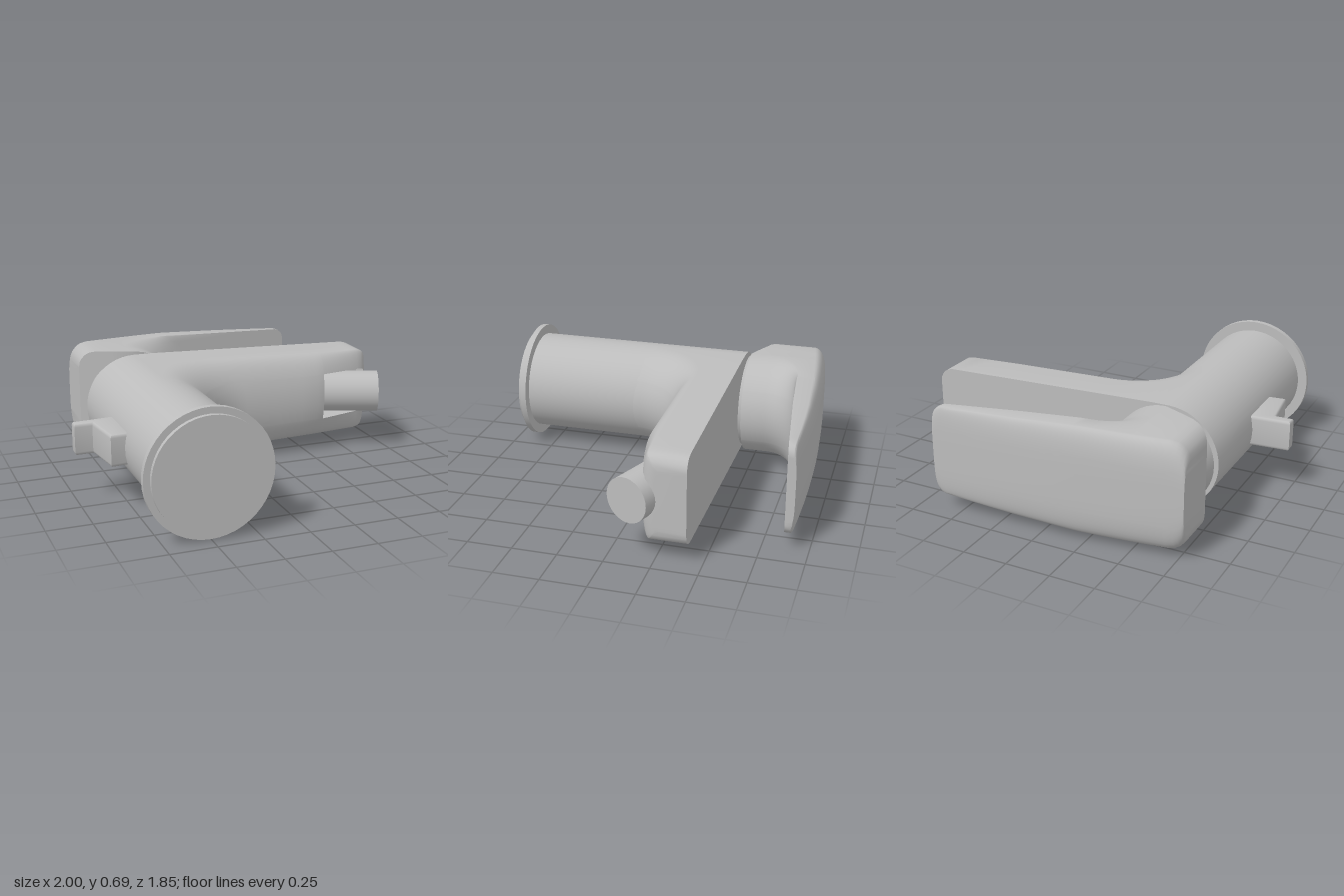
import * as THREE from 'three';
import { toCreasedNormals } from 'three/addons/utils/BufferGeometryUtils.js';

const CX = -0.5, CY = 0.35, R = 0.29;
const metal = new THREE.MeshStandardMaterial({ color: 0xbcbcbc });
metal.name = 'satin grey metal';

// Angles across the half-round section; the close pairs give the outlet recess crisp sides
const angles = [];
for (let a = -90; a <= 90; a += 7.5) if (Math.abs(a) !== 30) angles.push(a);
angles.push(-32.5, -31, 31, 32.5);
angles.sort((a, b) => a - b);
const arc = angles.map((a) => ({ s: Math.sin(a * Math.PI / 180), c: Math.max(0, Math.cos(a * Math.PI / 180)) }));

// Distance a rounded corner of radius r is set in, at distance d from the end
const corner = (d, r) => (d >= r ? 0 : r - Math.sqrt(r * r - (r - Math.max(d, 0)) ** 2));
const { lerp, clamp } = THREE.MathUtils;

// Skin closed sections; each row gives an {x, z} for the underside at every angle
function loft(rows, width, top) {
  const n = arc.length, ring = 2 * n, pos = [], idx = [];
  for (const row of rows) {
    const low = arc.map((p, j) => [row[j].x, CY + width(row[j].x) * p.s, row[j].z]);
    const high = arc.map((p, j) => [row[j].x, low[j][1], top(row[j].x, p)]);
    for (const v of [...low, ...high.reverse()]) pos.push(...v);
  }
  for (let i = 0; i < rows.length - 1; i++) {
    for (let k = 0; k < ring; k++) {
      const a = i * ring + k, b = i * ring + (k + 1) % ring;
      idx.push(a, a + ring, b + ring, a, b + ring, b);
    }
  }
  const e = (rows.length - 1) * ring;
  for (let j = 0; j < n - 1; j++) {
    const q = [j, j + 1, ring - 2 - j, ring - 1 - j];
    idx.push(q[0], q[1], q[2], q[0], q[2], q[3]);
    idx.push(e + q[0], e + q[2], e + q[1], e + q[0], e + q[3], e + q[2]);
  }
  const g = new THREE.BufferGeometry();
  g.setAttribute('position', new THREE.Float32BufferAttribute(pos, 3));
  g.setIndex(idx);
  return toCreasedNormals(g, 0.6);
}

// Rows that leave the round column through a fillet and run on along an arm
function armRows(zStart, reach, under, xs) {
  const rows = [], steps = 10;
  for (let i = 0; i <= steps; i++) {
    const a = (i / steps) * Math.PI / 2;
    rows.push(arc.map((p) => {
      const x0 = CX + R * p.c, len = reach + 0.1 * (1 - p.c);
      return { x: x0 + len * (1 - Math.cos(a)), z: lerp(zStart, under(x0 + len, p), Math.sin(a)) };
    }));
  }
  for (const x of xs) rows.push(arc.map((p) => ({ x, z: under(x, p) })));
  return rows;
}

function add(group, name, geometry) {
  const mesh = new THREE.Mesh(geometry, metal);
  mesh.name = name;
  group.add(mesh);
  return mesh;
}

// Cylinder lying along z on the column axis
function column(r0, r1, zBack, zFront) {
  const g = new THREE.CylinderGeometry(r1, r0, zFront - zBack, 48);
  g.rotateX(Math.PI / 2);
  return g.translate(CX, CY, (zBack + zFront) / 2);
}

export function createModel() {
  const model = new THREE.Group();
  model.name = 'basinTap';

  // Upright body and its foot
  add(model, 'body', column(R, R, -0.42, 0.88));
  add(model, 'baseFlange', column(0.345, 0.345, 0.867, 0.9));
  add(model, 'baseDisc', column(0.31, 0.31, 0.89, 0.925));

  // Spout with arched underside and a recess for the outlet
  const spoutWidth = (x) => lerp(0.29, 0.25, clamp((x + 0.4) / 1.3, 0, 1)) - corner(0.928 - x, 0.08);
  const spoutUnder = (x, p) => {
    if (x > 0.597 && x < 0.9 && Math.abs(p.s) < 0.525) return -0.28;
    const fade = 1 - 0.8 * clamp((x - 0.56) / 0.36, 0, 1);
    return -0.21 + 0.12 * p.c * fade - corner(0.928 - x, 0.06);
  };
  const spoutXs = [0.3, 0.45, 0.55, 0.595, 0.6, 0.7, 0.8, 0.85, 0.88, 0.897, 0.902, 0.915, 0.924, 0.928];
  add(model, 'spout', loft(armRows(0.2, 0.3, spoutUnder, spoutXs), spoutWidth, () => -0.42));

  // Tilted outlet nozzle
  const nozzle = add(model, 'outletNozzle', new THREE.CylinderGeometry(0.125, 0.125, 0.36, 32));
  const dir = new THREE.Vector3(0.93, 0, 0.365).normalize();
  nozzle.quaternion.setFromUnitVectors(new THREE.Vector3(0, 1, 0), dir);
  nozzle.position.set(0.955, CY, -0.115).addScaledVector(dir, -0.18);

  // Cartridge collar under the handle
  add(model, 'cartridgeCollar', column(0.235, 0.27, -0.6, -0.435));

  // Lever handle: slanted rear block, round stem and thin blade in one skin
  const leverWidth = (x) => lerp(0.3, 0.255, clamp((x + 0.2) / 0.85, 0, 1))
    - corner(x + 0.79, 0.1) - corner(0.647 - x, 0.06);
  const leverTop = (x, p) => {
    const drop = lerp(0.075, 0.02, clamp((x + 0.79) / 1.4, 0, 1));
    return -0.93 + 0.065 * (x - 0.2) ** 2 + drop * (1 - Math.sqrt(Math.max(0, 1 - p.s ** 4)));
  };
  const leverUnder = (x) => -0.79 - 0.123 * Math.max(x, -0.1);
  const leverRows = [-0.79, -0.785, -0.775, -0.755, -0.73, -0.69, -0.6, -0.5].map((x) =>
    arc.map(() => ({ x, z: Math.min(-0.455, -0.59 + (x + 0.79) * 0.48) })));
  leverRows.push(arc.map((p) => ({ x: CX + R * p.c, z: -0.455 })));
  leverRows.push(...armRows(-0.59, 0.22, leverUnder, [0.15, 0.3, 0.45, 0.55, 0.59, 0.615, 0.635, 0.644, 0.647]));
  add(model, 'leverHandle', loft(leverRows, leverWidth, leverTop));

  // Rear drain pull with an overhanging lip
  const pull = new THREE.Shape([[-0.985, 0.105], [-0.75, 0.085], [-0.75, 0.375], [-0.855, 0.387],
    [-0.888, 0.135], [-0.985, 0.138]].map(([x, z]) => new THREE.Vector2(x, z)));
  const pullGeometry = new THREE.ExtrudeGeometry(pull,
    { depth: 0.14, bevelSize: 0.014, bevelThickness: 0.018, bevelSegments: 3 });
  pullGeometry.rotateX(Math.PI / 2).translate(0, CY + 0.07, 0);
  add(model, 'drainPull', toCreasedNormals(pullGeometry, 0.6));

  return model;
}
